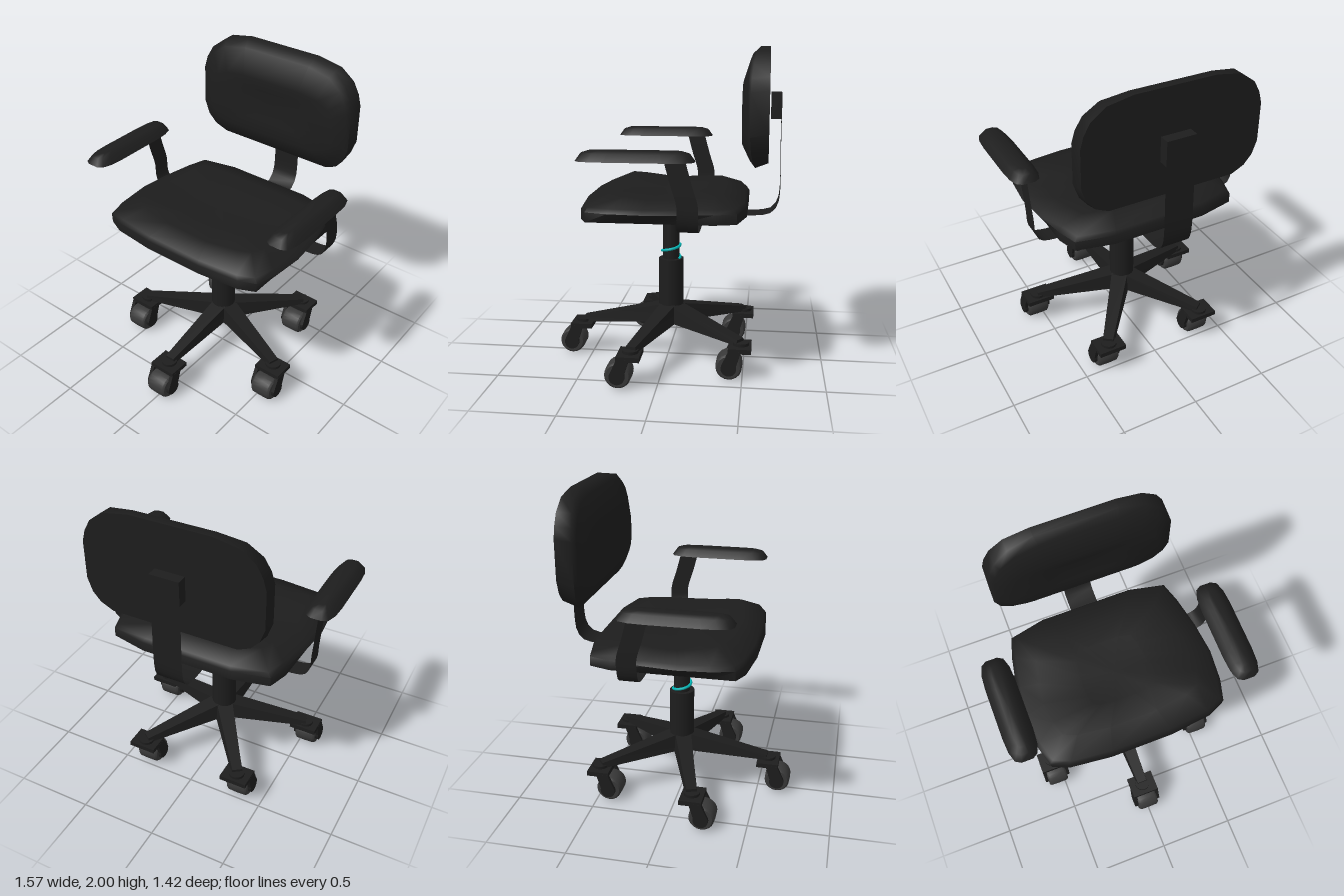
import * as THREE from 'three';
import { toCreasedNormals } from 'three/addons/utils/BufferGeometryUtils.js';

const mat = (color, side = THREE.FrontSide) => new THREE.MeshStandardMaterial({ color, side });
const black = mat(0x1d1d1d);
const strapMat = mat(0x1d1d1d, THREE.DoubleSide);
const wheelMat = mat(0x383838);
const teal = mat(0x00b4b4);

const CX = -0.007, CZ = -0.02; // axis of the column

function add(parent, name, geometry, material = black, x = 0, y = 0, z = 0) {
  const mesh = new THREE.Mesh(geometry, material);
  mesh.name = name;
  mesh.position.set(x, y, z);
  parent.add(mesh);
  return mesh;
}

// Geometry from indexed points, optionally with creased normals
function build(points, index, crease) {
  const g = new THREE.BufferGeometry();
  g.setAttribute('position', new THREE.Float32BufferAttribute(points.flat(), 3));
  g.setIndex(index);
  g.computeVertexNormals();
  return crease ? toCreasedNormals(g, crease) : g;
}

// Closed skin through rings of equal length, stacked upward, capped at both ends
function loft(rings, crease) {
  const n = rings[0].length, points = rings.flat(), index = [];
  for (let r = 0; r < rings.length - 1; r++) {
    for (let i = 0; i < n; i++) {
      const a = r * n + i, b = r * n + (i + 1) % n;
      index.push(a, b, b + n, a, b + n, a + n);
    }
  }
  for (const r of [0, rings.length - 1]) {
    const mid = points.length;
    points.push([0, 1, 2].map(k => rings[r].reduce((s, p) => s + p[k], 0) / n));
    for (let i = 0; i < n; i++) {
      const a = r * n + i, b = r * n + (i + 1) % n;
      index.push(mid, r ? a : b, r ? b : a);
    }
  }
  return build(points, index, crease);
}

// Full outline from its +x half, listed front to back
const mirrored = half => [...half, ...half.slice().reverse().map(([x, z]) => [-x, z])];
// Scaled and shifted copy of an outline; height is a number or a rule of x and z
const ring = (outline, sx, sz, height, dz = 0) => outline.map(([x, z]) => {
  const px = x * sx, pz = z * sz + dz;
  return [px, typeof height === 'number' ? height : height(px, pz), pz];
});

// Thin strap along a smooth path, widened by a fixed vector
function strap(path, width, steps = 32) {
  const curve = new THREE.CatmullRomCurve3(path.map(p => new THREE.Vector3(...p)), false, 'centripetal');
  const w = new THREE.Vector3(...width), points = [], index = [];
  curve.getSpacedPoints(steps).forEach((p, i) => {
    points.push(p.clone().addScaledVector(w, -0.5).toArray(), p.clone().addScaledVector(w, 0.5).toArray());
    if (i < steps) index.push(2 * i, 2 * i + 1, 2 * i + 3, 2 * i, 2 * i + 3, 2 * i + 2);
  });
  return build(points, index);
}

function makeCaster() {
  const caster = new THREE.Group();
  caster.name = 'caster';
  const wz = 0.07, wy = 0.083;
  add(caster, 'casterStem', new THREE.CylinderGeometry(0.05, 0.05, 0.025, 16), black, 0, 0.215, 0);
  add(caster, 'casterPlate', new THREE.BoxGeometry(0.18, 0.03, 0.14), black, 0, 0.195, 0.005);

  // Wheel with slightly rounded shoulders
  const profile = [[0, -0.07], [0.07, -0.07], [0.08, -0.058], [0.082, 0], [0.08, 0.058], [0.07, 0.07], [0, 0.07]];
  const wheel = new THREE.LatheGeometry(profile.map(p => new THREE.Vector2(...p)), 20).rotateZ(Math.PI / 2);
  add(caster, 'wheel', toCreasedNormals(wheel, 0.7), wheelMat, 0, wy, wz);

  // Slanted fork cheeks, rounded about the axle
  const cheek = new THREE.Shape();
  cheek.moveTo(0.07, 0.195);
  cheek.lineTo(-0.005, 0.195);
  cheek.lineTo(wz - 0.045, wy + 0.015);
  cheek.absarc(wz, wy, 0.047, Math.PI * 0.95, Math.PI * 2.1, false);
  for (const s of [-1, 1]) {
    const g = new THREE.ExtrudeGeometry(cheek, { depth: 0.024, bevelEnabled: false, curveSegments: 10 });
    add(caster, 'casterFork', g.translate(0, 0, -0.012).rotateY(-Math.PI / 2), black, s * 0.079, 0, 0);
  }
  return caster;
}

export function createModel() {
  const chair = new THREE.Group();
  chair.name = 'officeChair';

  // Dished seat cushion with raised corners and an almost square underside
  const seat = mirrored([[0.2, 0.49], [0.47, 0.46], [0.575, 0.415], [0.612, 0.28], [0.63, 0.08], [0.61, -0.12], [0.57, -0.33], [0.53, -0.46], [0.3, -0.51]]);
  const underside = seat.map(([x, z]) => [THREE.MathUtils.clamp(x, -0.57, 0.57), z]);
  const dish = (x, z) => 1.112 + 0.041 * Math.min(1, Math.abs(x) / 0.46) * Math.min(1, Math.abs(z) / 0.3) * (z < 0 ? 0.65 : 1);
  add(chair, 'seat', loft([
    ring(underside, 1, 1, 1.0),
    ring(seat, 1, 1, 1.06),
    ring(seat, 0.96, 0.97, 1.085),
    ring(seat, 0.77, 0.7, dish),
    ring(seat, 0.35, 0.4, dish),
  ], 0.95));

  // Backrest, lofted lying flat and then stood up
  const back = mirrored([[0.4, 0.345], [0.48, 0.305], [0.53, 0.245], [0.56, 0.155], [0.56, -0.095], [0.54, -0.17], [0.5, -0.245], [0.41, -0.315], [0.25, -0.345]]);
  add(chair, 'backrest', loft([
    ring(back, 1, 0.96, -0.63, -0.015),
    ring(back, 1, 1, x => -0.585 + 0.06 * (x / 0.56) ** 2),
    ring(back, 0.95, 0.88, x => -0.535 + 0.03 * (x / 0.56) ** 2),
    ring(back, 0.83, 0.53, -0.476, 0.035),
    ring(back, 0.4, 0.3, -0.49, 0.03),
  ], 1.1).rotateX(Math.PI / 2), black, 0, 1.655, 0);

  // Strap that carries the backrest, with its clamp block
  add(chair, 'backStrap', strap([[0, 0.97, 0.1], [0, 0.97, -0.2], [0, 0.97, -0.58], [0, 0.985, -0.65], [0, 1.03, -0.69], [0, 1.1, -0.705], [0, 1.4, -0.705], [0, 1.72, -0.705]], [0.185, 0, 0]), strapMat);
  add(chair, 'backClamp', new THREE.BoxGeometry(0.185, 0.155, 0.065), black, 0, 1.645, -0.673);

  // Armrests and the straps that carry them
  const pad = mirrored([[0.035, 0.33], [0.068, 0.31], [0.087, 0.25], [0.093, 0.16], [0.093, -0.16], [0.087, -0.25], [0.068, -0.31], [0.035, -0.33]]);
  for (const s of [-1, 1]) {
    add(chair, 'armrest', loft([
      ring(pad, 1, 1, 1.38),
      ring(pad, 0.65, 0.91, 1.423),
      ring(pad, 0.35, 0.78, 1.437),
    ], 0.9), black, s * 0.692, 0, 0.098);
    add(chair, 'armStrap', strap([[0, 0.965, -0.19], [s * 0.3, 0.965, -0.19], [s * 0.61, 0.965, -0.19], [s * 0.66, 0.985, -0.19], [s * 0.685, 1.04, -0.19], [s * 0.69, 1.13, -0.19], [s * 0.69, 1.25, -0.155], [s * 0.69, 1.38, -0.12]], [0, 0, 0.12]), strapMat);
  }

  // Gas lift column
  add(chair, 'liftRod', new THREE.CylinderGeometry(0.053, 0.053, 0.4, 24), black, CX, 0.8, CZ);
  add(chair, 'liftSleeve', new THREE.CylinderGeometry(0.08, 0.08, 0.415, 24), black, CX, 0.4475, CZ);

  // Coiled teal band round the rod
  const coil = [];
  for (let i = 0; i <= 30; i++) {
    const a = -3.7 + i * 0.233;
    coil.push(new THREE.Vector3(Math.sin(a) * 0.058, 0.652 + i * 0.0031, Math.cos(a) * 0.058));
  }
  add(chair, 'coilBand', new THREE.TubeGeometry(new THREE.CatmullRomCurve3(coil), 90, 0.009, 8), teal, CX, 0, CZ);

  // Five tapered legs, each with a forward-facing caster
  const section = (z, w, bottom, top) => [[-w, bottom, z], [w, bottom, z], [w * 0.85, top, z], [-w * 0.85, top, z]];
  const leg = loft([section(0, 0.065, 0.24, 0.365), section(0.575, 0.037, 0.21, 0.245)], 0.3);
  const base = new THREE.Group();
  base.name = 'base';
  base.position.set(0, 0, CZ);
  chair.add(base);
  for (let i = 0; i < 5; i++) {
    const a = i * Math.PI * 2 / 5;
    add(base, 'leg', leg).rotation.y = a;
    const caster = makeCaster();
    caster.position.set(Math.sin(a) * 0.572, 0, Math.cos(a) * 0.58);
    base.add(caster);
  }
  return chair;
}
